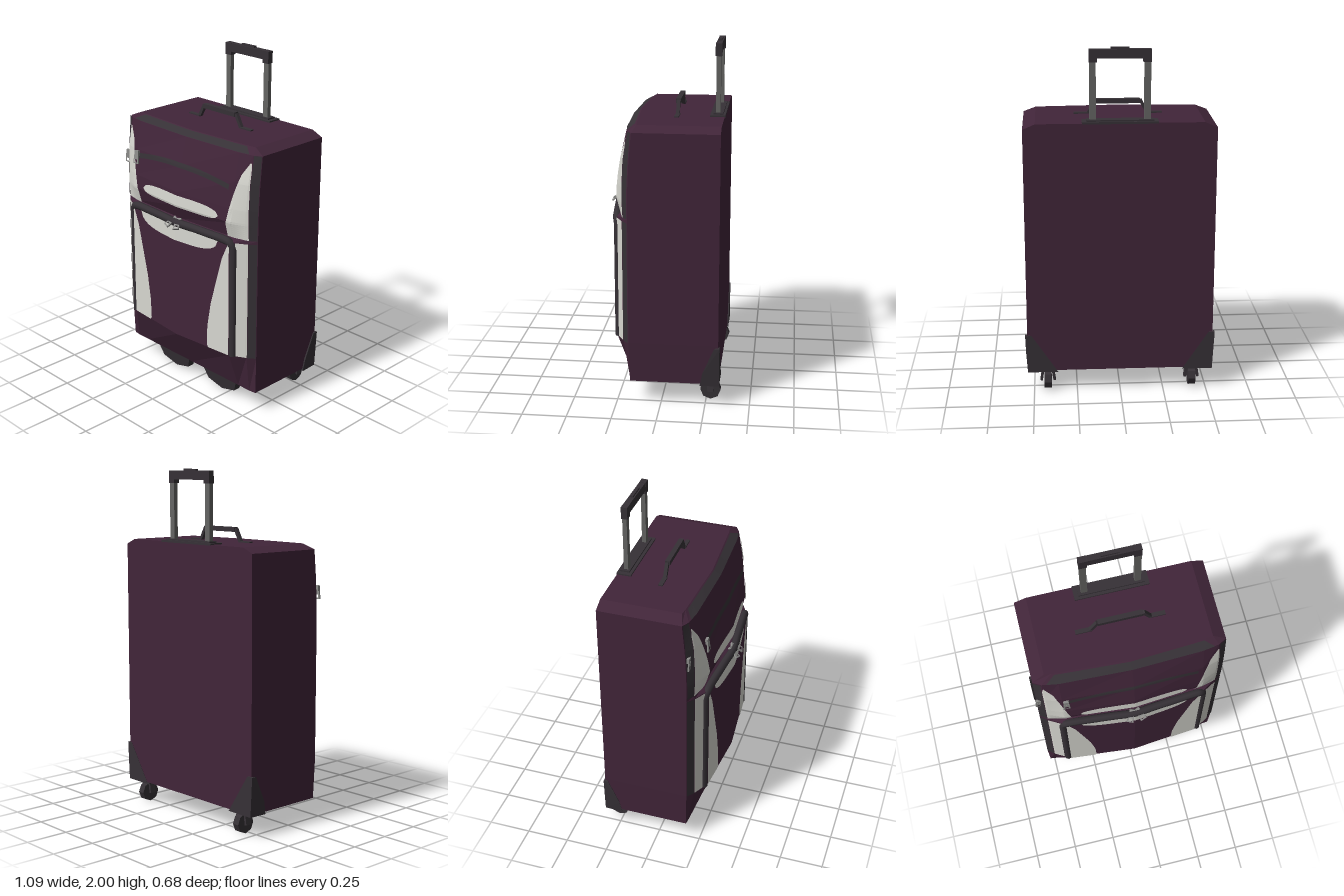
import * as THREE from 'three';
import { ConvexGeometry } from 'three/addons/geometries/ConvexGeometry.js';

const mat = (name, color) => Object.assign(new THREE.MeshStandardMaterial({ color }), { name });

// Front surface: rows of [y, width scale, z at each station of STATIONS]
const STATIONS = [0, 0.4, 0.49, 0.535];
const ROWS = [
  [0.13, 0.985, 0.18, 0.18, 0.18, 0.175],
  [0.36, 1, 0.303, 0.265, 0.215, 0.18],
  [1.06, 1, 0.303, 0.265, 0.215, 0.18],
  [1.08, 1, 0.25, 0.232, 0.21, 0.18],
  [1.17, 1, 0.29, 0.255, 0.215, 0.18],
  [1.25, 1, 0.285, 0.25, 0.215, 0.178],
  [1.4, 1, 0.257, 0.232, 0.207, 0.17],
  [1.56, 1, 0.21, 0.195, 0.18, 0.155],
  [1.59, 0.87, 0.165, 0.145, 0.14, 0.135],
];
const { lerp, clamp } = THREE.MathUtils;

// Point on the front surface for a station u and height y, lifted by d
function surface(u, y, d = 0) {
  let i = 0;
  while (i < ROWS.length - 2 && y > ROWS[i + 1][0]) i++;
  const [a, b] = [ROWS[i], ROWS[i + 1]];
  const t = clamp((y - a[0]) / (b[0] - a[0]), 0, 1);
  const au = Math.abs(u);
  let k = 0;
  while (k < 2 && au > STATIONS[k + 1]) k++;
  const f = (au - STATIONS[k]) / (STATIONS[k + 1] - STATIONS[k]);
  const z = lerp(lerp(a[k + 2], a[k + 3], f), lerp(b[k + 2], b[k + 3], f), t);
  return [u * lerp(a[1], b[1], t), y, z + d];
}

function facets(points, index) {
  const g = new THREE.BufferGeometry();
  g.setAttribute('position', new THREE.Float32BufferAttribute(points.flat(), 3));
  g.setIndex(index);
  const flat = g.toNonIndexed();
  flat.computeVertexNormals();
  return flat;
}

// Main shell lofted through the rows, with top and bottom caps
function shellGeometry() {
  const us = [-0.535, -0.49, -0.4, 0, 0.4, 0.49, 0.535];
  const pts = [], idx = [], n = us.length + 2;
  for (const [y, s] of ROWS) {
    for (const u of us) pts.push(surface(u, y));
    pts.push([0.535 * s, y, -0.322], [-0.535 * s, y, -0.322]);
  }
  for (let i = 0; i < ROWS.length - 1; i++)
    for (let j = 0; j < n; j++) {
      const a = i * n + j, b = i * n + (j + 1) % n;
      idx.push(a, b, b + n, a, b + n, a + n);
    }
  const top = (ROWS.length - 1) * n;
  for (let k = 1; k < n - 1; k++) idx.push(0, k + 1, k, top, top + k, top + k + 1);
  return facets(pts, idx);
}

// Thin skin on the front surface; fn(s, t) gives [u, y]
function patchGeometry(fn, nu, nv, d = 0.005) {
  const pts = [], idx = [];
  for (let j = 0; j <= nv; j++)
    for (let i = 0; i <= nu; i++) pts.push(surface(...fn(i / nu, j / nv), d));
  for (let j = 0; j < nv; j++)
    for (let i = 0; i < nu; i++) {
      const a = j * (nu + 1) + i, c = a + nu + 1;
      idx.push(a, a + 1, c + 1, a, c + 1, c);
    }
  return facets(pts, idx);
}

// Piecewise-linear lookup through [y, value] pairs
function along(pairs, y) {
  let i = 0;
  while (i < pairs.length - 2 && y > pairs[i + 1][0]) i++;
  const [a, b] = [pairs[i], pairs[i + 1]];
  return lerp(a[1], b[1], clamp((y - a[0]) / (b[0] - a[0]), 0, 1));
}

export function createModel() {
  const fabric = mat('plum fabric', 0x412539);
  const trim = mat('charcoal trim', 0x363136);
  const pale = mat('pale panel', 0xd8d8d1);
  const metal = mat('post metal', 0x656563);
  const zip = mat('zip metal', 0x8c8c8a);
  const model = new THREE.Group();
  model.name = 'suitcase';

  const add = (name, geo, material, x = 0, y = 0, z = 0) => {
    const m = new THREE.Mesh(geo, material);
    m.name = name;
    m.position.set(x, y, z);
    model.add(m);
    return m;
  };
  const box = (name, material, w, h, d, x, y, z) =>
    add(name, new THREE.BoxGeometry(w, h, d), material, x, y, z);

  add('shell', shellGeometry(), fabric);

  // Side panels and corner trim, mirrored
  const panel = (name, material, y0, y1, inner, outer) => {
    for (const side of [1, -1])
      add(name, patchGeometry((s, t) => {
        const y = lerp(y0, y1, t), k = side > 0 ? s : 1 - s;
        return [side * lerp(along(inner, y), along(outer, y), k), y];
      }, 8, 36), material);
  };
  const fixed = v => [[0, v], [2, v]];
  panel('pocketPanel', pale, 0.362, 1.04,
    [[0.36, 0.25], [0.38, 0.24], [0.5, 0.245], [0.65, 0.27], [0.8, 0.31], [0.95, 0.35], [1.04, 0.39]], fixed(0.4));
  panel('lowerSidePanel', pale, 0.362, 1.06, fixed(0.43), fixed(0.495));
  panel('upperSidePanel', pale, 1.08, 1.52,
    [[1.08, 0.36], [1.15, 0.362], [1.25, 0.385], [1.35, 0.41], [1.45, 0.44], [1.52, 0.485]],
    [[1.08, 0.495], [1.48, 0.495], [1.52, 0.49]]);
  panel('cornerTrim', trim, 0.36, 1.06, fixed(0.497), fixed(0.535));
  panel('cornerTrim', trim, 1.08, 1.56, fixed(0.497), fixed(0.535));

  // Lens panels and curved seams across the front
  const band = (name, material, half, low, high) =>
    add(name, patchGeometry((s, t) => {
      const v = 2 * s - 1;
      return [v * half, lerp(low(v), high(v), t)];
    }, 40, 6), material);
  const bulge = v => Math.sqrt(Math.max(0, 1 - v ** 4));
  band('upperLens', pale, 0.31, v => 1.19 - 0.04 * bulge(v) + 0.012 * (1 - v * v), v => 1.19 + 0.042 * bulge(v));
  band('lowerLens', pale, 0.32, v => 1.045 - 0.08 * bulge(v), () => 1.05);
  band('upperSeam', trim, 0.37, v => 1.388 - 0.035 * v * v, v => 1.418 - 0.035 * v * v);
  band('topEdgeTrim', trim, 0.47, () => 1.562, () => 1.588);

  // Pocket zip piping
  const path = [];
  for (let y = 0.36; y < 1.02; y += 0.08) path.push([0.415, y]);
  path.push([0.412, 1.03], [0.395, 1.055], [0.36, 1.062], [0.24, 1.066], [0.12, 1.069]);
  const full = [...path, [0, 1.07], ...path.slice().reverse().map(([x, y]) => [-x, y])];
  const curve = new THREE.CatmullRomCurve3(
    full.map(([x, y]) => new THREE.Vector3(x, y, surface(x, Math.min(y, 1.06))[2] - 0.008)));
  add('pocketPiping', new THREE.TubeGeometry(curve, 120, 0.023, 8), trim);

  // Zip pulls: a slider with a looped tab
  const pull = (x, y, z, rx, rz) => {
    const g = new THREE.Group();
    g.name = 'zipPull';
    const shape = new THREE.Shape([[-0.016, 0], [0.016, 0], [0.02, -0.05], [-0.02, -0.05]].map(p => new THREE.Vector2(...p)));
    shape.holes.push(new THREE.Path([[-0.01, -0.025], [0.01, -0.025], [0.01, -0.042], [-0.01, -0.042]].map(p => new THREE.Vector2(...p))));
    const tab = new THREE.Mesh(new THREE.ExtrudeGeometry(shape, { depth: 0.008, bevelEnabled: false }), zip);
    tab.name = 'zipTab';
    const slider = new THREE.Mesh(new THREE.BoxGeometry(0.03, 0.03, 0.014), zip);
    slider.name = 'zipSlider';
    slider.position.y = 0.012;
    g.add(tab, slider);
    g.position.set(x, y, z);
    g.rotation.set(rx, 0, rz);
    model.add(g);
  };
  pull(-0.022, 1.075, 0.298, -0.9, -0.4);
  pull(0.022, 1.075, 0.298, -0.9, 0.4);
  pull(-0.38, 1.37, 0.25, -0.1, 0);
  pull(-0.525, 1.33, 0.19, 0, 0);

  // Telescopic handle
  box('handlePlate', trim, 0.42, 0.012, 0.085, 0, 1.592, -0.283);
  box('handleSocket', trim, 0.37, 0.012, 0.055, 0, 1.6, -0.285);
  for (const s of [1, -1]) {
    box('handlePost', metal, 0.036, 0.36, 0.025, s * 0.15, 1.76, -0.283);
    box('handleGripEnd', trim, 0.044, 0.07, 0.036, s * 0.148, 1.955, -0.283);
  }
  const grip = new THREE.Shape([[-0.17, 1.94], [0.17, 1.94], [0.17, 1.98], [0.12, 1.99], [-0.12, 1.99], [-0.17, 1.98]]
    .map(p => new THREE.Vector2(...p)));
  add('handleGrip', new THREE.ExtrudeGeometry(grip, { depth: 0.034, bevelEnabled: false }), trim, 0, 0, -0.3);
  box('handleButton', trim, 0.1, 0.014, 0.02, 0, 1.993, -0.283);

  // Carry handle on top
  box('carryGrip', trim, 0.25, 0.026, 0.028, 0, 1.66, -0.058);
  for (const s of [1, -1]) {
    box('carryBase', trim, 0.09, 0.01, 0.025, s * 0.205, 1.592, -0.058);
    const arm = box('carryArm', trim, 0.018, 0.082, 0.02, s * 0.146, 1.63, -0.058);
    arm.rotation.z = s * 0.5;
  }

  for (const s of [1, -1]) {
    // Rear corner guard
    const pts = [[0.54, 0.122, -0.22], [0.546, 0.2, -0.235], [0.547, 0.35, -0.3], [0.547, 0.35, -0.329],
      [0.51, 0.35, -0.329], [0.45, 0.24, -0.329], [0.36, 0.122, -0.329], [0.535, 0.122, -0.329]];
    add('cornerGuard', new ConvexGeometry(pts.map(([x, y, z]) => new THREE.Vector3(s * x, y, z))), trim);

    // Rear wheel and fork
    const wheel = new THREE.CylinderGeometry(0.058, 0.058, 0.042, 8).toNonIndexed();
    wheel.computeVertexNormals();
    wheel.rotateZ(Math.PI / 2);
    add('wheel', wheel, trim, s * 0.42, 0.058, -0.275);
    for (const k of [1, -1]) {
      const fork = box('wheelFork', trim, 0.014, 0.08, 0.035, s * 0.42 + k * 0.032, 0.092, -0.275);
      fork.rotation.z = k * 0.15;
    }
    box('forkCrown', trim, 0.085, 0.02, 0.05, s * 0.42, 0.122, -0.275);

    // Front foot, tapering downward
    const ring = [[-0.15, 0.14], [-0.11, 0.035], [0, 0.004], [0.11, 0.035], [0.15, 0.14]];
    const foot = ring.flatMap(([x, y]) => {
      const t = y / 0.14;
      return [lerp(0.09, 0.075, t), lerp(0.12, 0.15, t)].map(z => new THREE.Vector3(s * 0.2 + x, y, z));
    });
    add('frontFoot', new ConvexGeometry(foot), trim);
  }
  return model;
}
